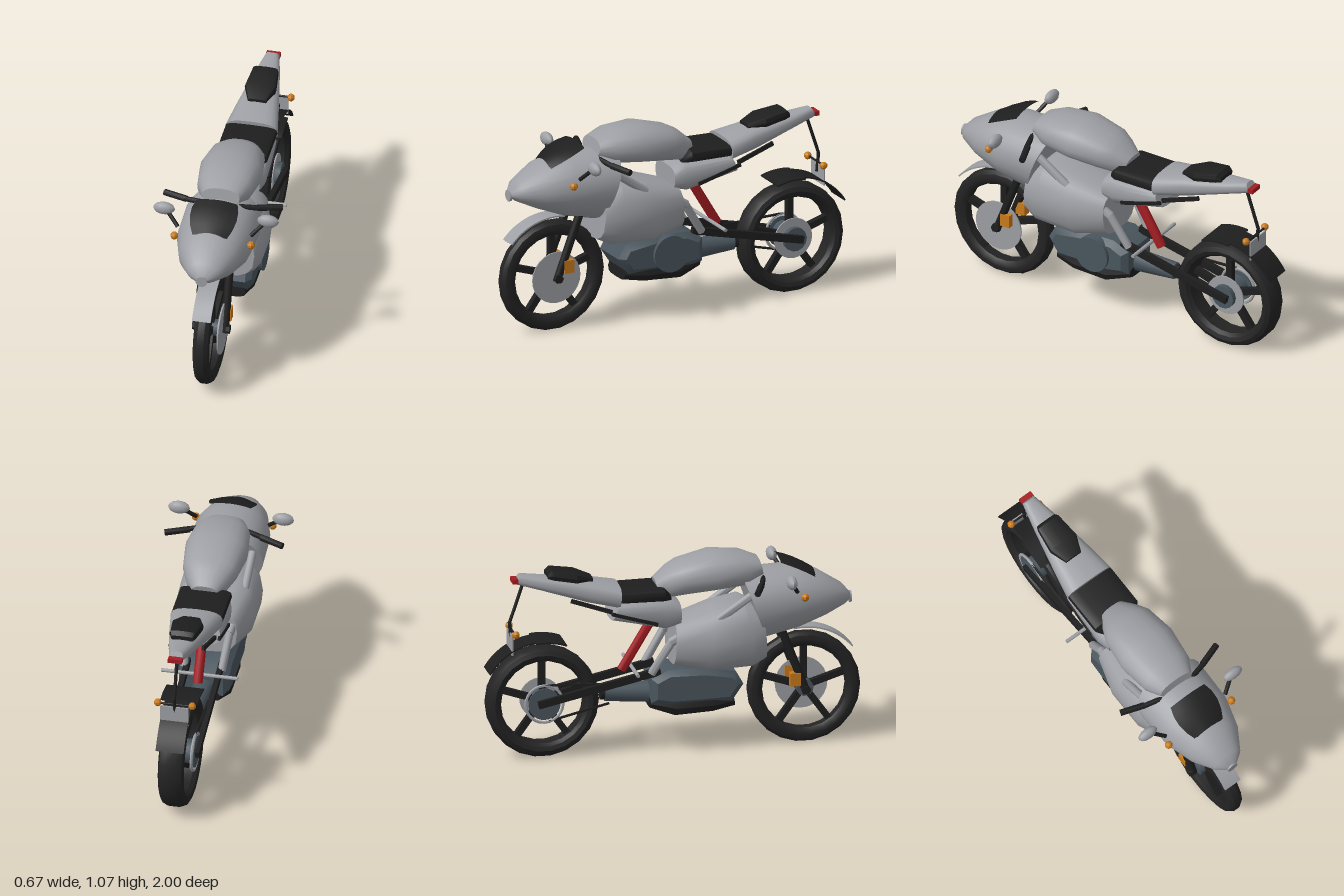
import * as THREE from 'three';
import { toCreasedNormals } from 'three/addons/utils/BufferGeometryUtils.js';

const mat = (name, color) => Object.assign(new THREE.MeshStandardMaterial({ color, side: THREE.DoubleSide }), { name });

export function createModel() {
  const root = new THREE.Group();
  const silver = mat('silver', 0x9d9fa4), black = mat('black', 0x1e1e1f), slate = mat('slate', 0x4a565e);
  const red = mat('red', 0xa31d22), orange = mat('orange', 0xc97a1c), tyreBlack = mat('tyreBlack', 0x232324);

  const add = (name, geo, m, crease = 0.7) => {
    const mesh = new THREE.Mesh(crease ? toCreasedNormals(geo, crease) : geo, m);
    mesh.name = name;
    root.add(mesh);
    return mesh;
  };

  // Body shell from cross-sections, front to back: [zBottom, yBottom, zTop, yTop, halfWidth, yWidest]
  const loft = (name, secs, m, { n = 18, power = 0.85, crease = 0.7 } = {}) => {
    const pos = [], idx = [];
    const bend = v => Math.sign(v) * Math.abs(v) ** power;
    for (const [zb, yb, zt, yt, w, yw = (yb + yt) / 2] of secs)
      for (let j = 0; j < n; j++) {
        const a = j / n * Math.PI * 2, c = bend(Math.cos(a));
        const y = yw + c * (c > 0 ? yt - yw : yw - yb);
        pos.push(w * bend(Math.sin(a)), y, zb + (zt - zb) * (y - yb) / (yt - yb));
      }
    for (let i = 0; i < secs.length - 1; i++)
      for (let j = 0; j < n; j++) {
        const a = i * n + j, b = i * n + (j + 1) % n;
        idx.push(a, b, a + n, b, b + n, a + n);
      }
    for (const [s, flip] of [[0, true], [secs.length - 1, false]]) {
      const [zb, yb, zt, yt] = secs[s], c = pos.length / 3;
      pos.push(0, (yb + yt) / 2, (zb + zt) / 2);
      for (let j = 0; j < n; j++) {
        const a = s * n + j, b = s * n + (j + 1) % n;
        flip ? idx.push(c, b, a) : idx.push(c, a, b);
      }
    }
    const g = new THREE.BufferGeometry();
    g.setAttribute('position', new THREE.Float32BufferAttribute(pos, 3));
    g.setIndex(idx);
    return add(name, g, m, crease);
  };

  // Round or square bar between two points
  const along = (name, a, b, geo, m) => {
    const p = new THREE.Vector3(...a), q = new THREE.Vector3(...b);
    const mesh = add(name, geo, m);
    mesh.position.copy(p).add(q).multiplyScalar(0.5);
    mesh.quaternion.setFromUnitVectors(new THREE.Vector3(0, 1, 0), q.sub(p).normalize());
    return mesh;
  };
  const dist = (a, b) => Math.hypot(a[0] - b[0], a[1] - b[1], a[2] - b[2]);
  const rod = (name, a, b, r, m, r2 = r) => along(name, a, b, new THREE.CylinderGeometry(r2, r, dist(a, b), 10), m);
  const bar = (name, a, b, wx, wz, m) => along(name, a, b, new THREE.BoxGeometry(wx, dist(a, b), wz), m);
  const box = (name, [x, y, z], size, m) => add(name, new THREE.BoxGeometry(...size).translate(x, y, z), m, 0);
  const disc = (name, [x, y, z], r, w, m, n = 24) =>
    add(name, new THREE.CylinderGeometry(r, r, w, n).rotateZ(Math.PI / 2).translate(x, y, z), m);
  const sides = fn => [1, -1].forEach(fn);

  // Side outline (z, y) extruded across the width
  const slab = (name, shape, width, m, bevel = 0) => {
    const g = new THREE.ExtrudeGeometry(shape, {
      depth: width - 2 * bevel, curveSegments: 10, bevelEnabled: bevel > 0,
      bevelSize: bevel, bevelThickness: bevel, bevelOffset: -bevel, bevelSegments: 1 });
    return add(name, g.translate(0, 0, bevel - width / 2).rotateY(-Math.PI / 2), m);
  };
  const arc = (z, y, r, from, to) => {
    const d = Math.PI / 180, s = new THREE.Shape();
    s.absarc(z, y, r, from * d, to * d, false);
    s.absarc(z, y, r - 0.008, to * d, from * d, true);
    return s;
  };

  // Wheels
  const wheel = (label, z, half, hubR) => {
    const y = 0.3, h = half;
    const profile = [[0.225, -h * 0.6], [0.24, -h * 0.9], [0.262, -h], [0.285, -h * 0.85], [0.3, -h * 0.4], [0.3, h * 0.4],
      [0.285, h * 0.85], [0.262, h], [0.24, h * 0.9], [0.225, h * 0.6], [0.225, -h * 0.6]].map(p => new THREE.Vector2(...p));
    add(label + 'Tyre', new THREE.LatheGeometry(profile, 22).rotateZ(Math.PI / 2).translate(0, y, z), tyreBlack, 0.6);
    for (let i = 0; i < 5; i++) {
      const a = Math.PI / 2 + i * Math.PI * 0.4;
      bar(label + 'Spoke', [0, y, z], [0, y + Math.sin(a) * 0.235, z + Math.cos(a) * 0.235], 0.035, 0.035, black);
    }
    disc(label + 'Hub', [0, y, z], hubR, half * 2.2, slate, 14);
  };
  wheel('front', 0.7, 0.045, 0.045);
  wheel('rear', -0.695, 0.07, 0.065);
  disc('frontBrakeDisc', [0.06, 0.3, 0.7], 0.14, 0.008, silver);
  disc('rearBrakeDisc', [0.045, 0.3, -0.695], 0.11, 0.008, silver);
  disc('rearSprocket', [-0.078, 0.3, -0.695], 0.085, 0.01, slate);
  add('sprocketRing', new THREE.TorusGeometry(0.1, 0.008, 6, 24).rotateY(Math.PI / 2).translate(-0.075, 0.3, -0.695), silver);

  // Mudguards
  slab('frontMudguard', arc(0.7, 0.3, 0.335, 40, 100), 0.1, silver);
  slab('rearMudguardFront', arc(-0.695, 0.3, 0.342, 70, 98), 0.2, black);
  slab('rearMudguardBack', arc(-0.695, 0.3, 0.342, 98, 149), 0.15, black);

  // Bodywork
  loft('noseFairing', [
    [0.95, 0.765, 0.945, 0.8, 0.03], [0.915, 0.74, 0.9, 0.85, 0.085], [0.81, 0.69, 0.77, 0.93, 0.155, 0.8],
    [0.66, 0.63, 0.62, 0.97, 0.198, 0.8], [0.48, 0.585, 0.35, 0.955, 0.205, 0.79]], silver, { n: 24, power: 0.95 });
  loft('lowerFairing', [
    [0.48, 0.48, 0.46, 0.76, 0.18, 0.62], [0.41, 0.445, 0.36, 0.81, 0.212, 0.62], [0.16, 0.432, 0.2, 0.775, 0.21, 0.6],
    [-0.01, 0.47, 0, 0.71, 0.155, 0.6]], silver, { n: 16, power: 0.7 });
  loft('fuelTank', [
    [0.475, 0.925, 0.455, 1.02, 0.1], [0.4, 0.88, 0.36, 1.057, 0.145], [0.22, 0.865, 0.2, 1.07, 0.168, 0.95],
    [0.06, 0.845, 0.03, 1.025, 0.145], [-0.03, 0.83, -0.03, 0.995, 0.11], [-0.08, 0.85, -0.1, 0.935, 0.07]], silver, { n: 20 });
  loft('seatBase', [[0.03, 0.69, 0.03, 0.81, 0.115], [-0.05, 0.67, -0.03, 0.845, 0.133],
    [-0.34, 0.735, -0.3, 0.835, 0.13]], silver, { power: 0.65 });
  loft('seat', [[-0.02, 0.83, -0.03, 0.875, 0.11], [-0.06, 0.83, -0.06, 0.905, 0.14],
    [-0.29, 0.83, -0.29, 0.9, 0.14]], black, { power: 0.55, n: 16 });
  loft('tail', [[-0.3, 0.8, -0.29, 0.92, 0.14], [-0.46, 0.833, -0.45, 0.953, 0.112], [-0.7, 0.905, -0.69, 0.98, 0.066],
    [-0.84, 0.945, -0.81, 0.997, 0.036]], silver, { power: 0.7 });
  loft('tailPad', [[-0.43, 0.94, -0.43, 0.965, 0.05], [-0.52, 0.94, -0.52, 1.0, 0.085], [-0.64, 0.96, -0.65, 1.02, 0.07],
    [-0.67, 0.97, -0.67, 1.0, 0.06]], black, { power: 0.5, n: 12, crease: 0.4 });
  box('tailLight', [0, 0.962, -0.84], [0.075, 0.024, 0.03], red);
  add('headlamp', new THREE.CylinderGeometry(0.031, 0.031, 0.012, 14).rotateX(Math.PI / 2).translate(0, 0.772, 0.948), silver);

  // Windscreen: a curved sheet drooping at its sides
  const screen = new THREE.PlaneGeometry(2, 2, 6, 4);
  const sp = screen.attributes.position;
  for (let i = 0; i < sp.count; i++) {
    const u = sp.getX(i), t = (sp.getY(i) + 1) / 2;
    const w = 0.09 + 0.12 * t - 0.1 * t * t;
    sp.setXYZ(i, u * w, 0.943 + 0.12 * t - 0.04 * t * t - 0.03 * u * u * (1 - 0.5 * t), 0.75 - 0.19 * t);
  }
  add('windscreen', screen, black);

  // Engine
  const outline = [[0.36, 0.36], [0.32, 0.43], [0.15, 0.455], [-0.04, 0.455], [-0.13, 0.41], [-0.13, 0.28], [-0.02, 0.26], [0.3, 0.27]];
  slab('engineBlock', new THREE.Shape(outline.map(p => new THREE.Vector2(...p))), 0.27, slate, 0.03);
  disc('clutchCover', [0.13, 0.36, 0.07], 0.1, 0.05, slate);
  loft('bellyPan', [[0.32, 0.23, 0.31, 0.3, 0.1], [0.2, 0.21, 0.2, 0.3, 0.132], [0, 0.198, 0, 0.3, 0.132],
    [-0.13, 0.24, -0.13, 0.3, 0.09]], black, { n: 12, power: 0.6, crease: 0.4 });
  rod('gearbox', [0, 0.315, -0.1], [0, 0.32, -0.36], 0.06, slate, 0.045);
  rod('gearboxEnd', [0, 0.32, -0.35], [0, 0.32, -0.385], 0.036, black);

  // Rear suspension and chain
  rod('shockAbsorber', [0, 0.69, -0.12], [0, 0.44, -0.27], 0.026, red);
  rod('footPegs', [-0.205, 0.462, -0.22], [0.205, 0.462, -0.22], 0.01, silver);
  bar('chainTop', [-0.075, 0.39, -0.35], [-0.075, 0.4, -0.69], 0.012, 0.01, black);
  bar('chainBottom', [-0.075, 0.285, -0.35], [-0.075, 0.205, -0.67], 0.012, 0.01, black);

  // Mirrored parts
  sides(s => {
    // Fork, brakes and frame
    rod('forkLeg', [s * 0.072, 0.28, 0.705], [s * 0.072, 0.75, 0.525], 0.022, black);
    box('brakeCaliper', [s * 0.075, 0.36, 0.64], [0.045, 0.07, 0.055], orange).rotation.x = 0;
    disc('axleNut', [s * 0.09, 0.3, 0.7], 0.025, 0.02, black, 6);
    bar('swingarm', [s * 0.09, 0.45, -0.08], [s * 0.09, 0.3, -0.73], 0.028, 0.04, black);
    rod('frameStrut', [s * 0.155, 0.87, 0.42], [s * 0.15, 0.73, 0.22], 0.022, silver);
    rod('rearFrameTube', [s * 0.13, 0.66, 0.05], [s * 0.12, 0.61, -0.03], 0.024, silver);
    rod('rearFrameTubeLower', [s * 0.12, 0.62, -0.02], [s * 0.1, 0.44, -0.13], 0.022, silver);
    bar('seatTrim', [s * 0.13, 0.715, -0.1], [s * 0.13, 0.785, -0.345], 0.014, 0.018, black);
    bar('tailTrim', [s * 0.108, 0.79, -0.34], [s * 0.088, 0.858, -0.555], 0.014, 0.022, black);

    // Controls
    rod('handlebar', [s * 0.09, 0.93, 0.47], [s * 0.2, 0.915, 0.44], 0.014, black);
    rod('handGrip', [s * 0.19, 0.915, 0.44], [s * 0.315, 0.907, 0.395], 0.017, black);
    rod('mirrorStalk', [s * 0.195, 0.87, 0.63], [s * 0.26, 0.935, 0.59], 0.011, black);
    add('mirror', new THREE.SphereGeometry(1, 12, 8).scale(0.058, 0.036, 0.028).translate(s * 0.278, 0.946, 0.585), silver, 0.9);
    add('frontIndicator', new THREE.SphereGeometry(0.022, 7, 5).translate(s * 0.205, 0.84, 0.67), orange, 0.4);
    add('rearIndicator', new THREE.SphereGeometry(0.021, 7, 5).translate(s * 0.092, 0.69, -0.85), orange, 0.4);
  });

  // Number plate holder
  rod('plateStay', [0, 0.93, -0.8], [0, 0.73, -0.867], 0.009, black);
  rod('plateStayLower', [0, 0.735, -0.867], [0, 0.63, -0.857], 0.009, black);
  rod('indicatorBar', [-0.09, 0.69, -0.853], [0.09, 0.69, -0.853], 0.006, black);
  box('numberPlate', [0, 0.627, -0.864], [0.15, 0.11, 0.008], silver);

  return root;
}
